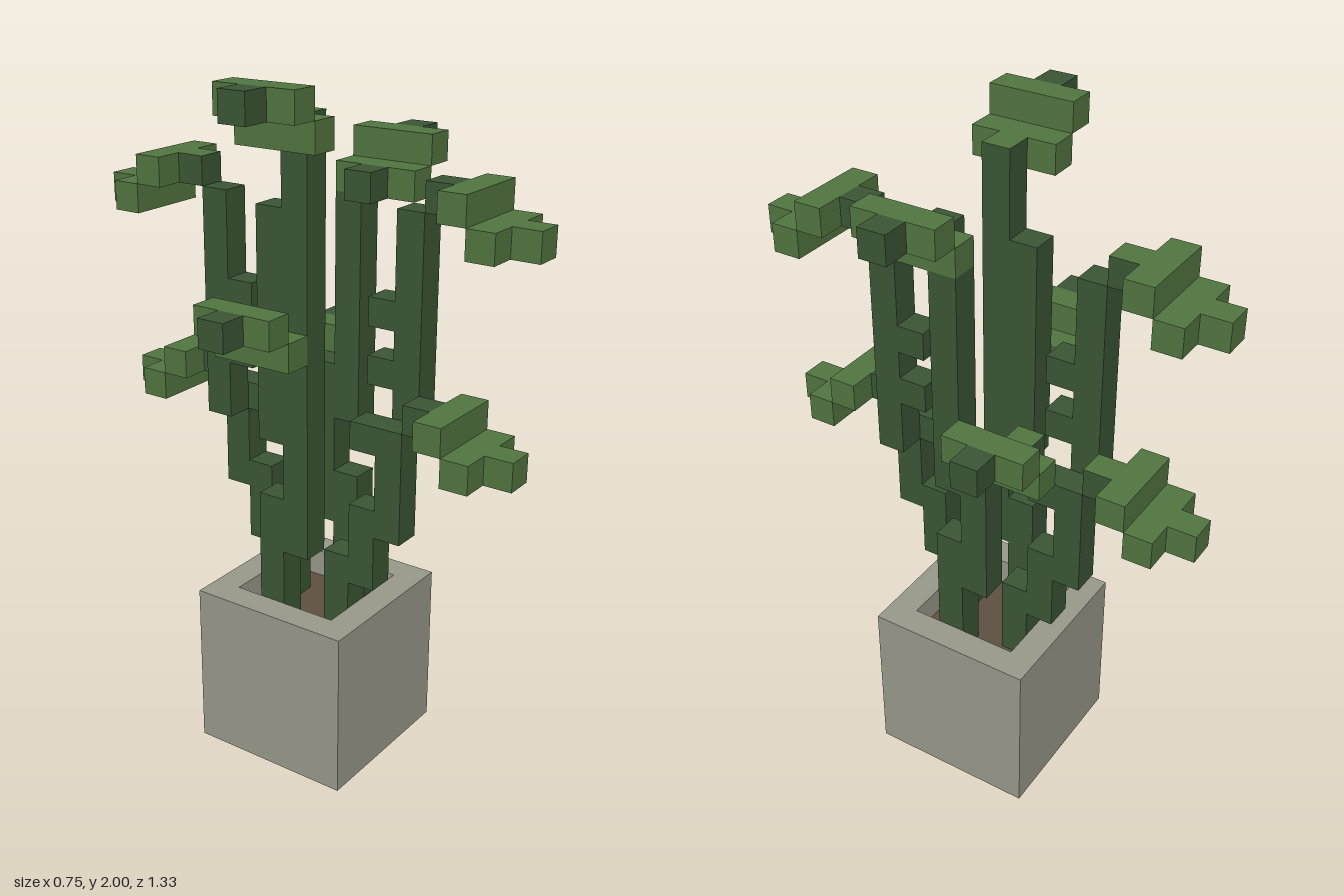
import * as THREE from 'three';

const U = 1 / 12; // edge of one block
const mat = (name, color) => Object.assign(new THREE.MeshStandardMaterial({ color }), { name });

export function createModel() {
  const model = new THREE.Group();
  model.name = 'pottedPlant';
  const stone = mat('potGrey', 0x98988a);
  const earth = mat('soilBrown', 0x5f4f42);
  const dark = mat('stemGreen', 0x3a5635);
  const light = mat('leafGreen', 0x527540);
  const lightTop = [dark, dark, light, dark, dark, dark];

  // Box given by its limits in blocks
  function box(parent, name, material, [x0, x1], [y0, y1], [z0, z1]) {
    const g = new THREE.BoxGeometry((x1 - x0) * U, (y1 - y0) * U, (z1 - z0) * U);
    const m = new THREE.Mesh(g, material);
    m.position.set(((x0 + x1) / 2 - 4.5) * U, ((y0 + y1) / 2) * U, ((z0 + z1) / 2) * U);
    m.name = name;
    parent.add(m);
    return m;
  }
  function part(name) {
    const g = new THREE.Group();
    g.name = name;
    model.add(g);
    return g;
  }

  // Pot: square block with a sunken opening, laid flat
  const outline = new THREE.Shape();
  const rect = (p, x0, x1, z0, z1) => p
    .moveTo((x0 - 4.5) * U, z0 * U).lineTo((x1 - 4.5) * U, z0 * U)
    .lineTo((x1 - 4.5) * U, z1 * U).lineTo((x0 - 4.5) * U, z1 * U).closePath();
  rect(outline, 2, 8, -3, 3);
  const hole = new THREE.Path();
  rect(hole, 3, 7, -2, 2);
  outline.holes.push(hole);
  const rim = new THREE.ExtrudeGeometry(outline, { depth: 5 * U, bevelEnabled: false });
  rim.rotateX(-Math.PI / 2).translate(0, U, 0);
  const pot = part('pot');
  const wall = new THREE.Mesh(rim, stone);
  wall.name = 'potWall';
  pot.add(wall);
  box(pot, 'potBase', stone, [2, 8], [0, 1], [-3, 3]);
  box(model, 'soil', earth, [3, 7], [1, 5], [-2, 2]);

  // Front stem, and the back one as its half turn about x = 5
  for (const back of [false, true]) {
    const g = part(back ? 'backStem' : 'frontStem');
    const put = (name, material, x, y, z) => box(g, name, material,
      back ? [10 - x[1], 10 - x[0]] : x, y, back ? [-z[1], -z[0]] : z);
    put('stem', dark, [4, 5], [5, 8], [1, 2]);
    put('stem', dark, [4, 5], [7, 10], [2, 3]);
    put('stem', dark, [4, 5], [9, 13], [3, 4]);
    put('stem', dark, [5, 6], [12, 20], [3, 4]);
    put('bud', dark, [4, 5], [12, 13], [2, 3]);
    put('bud', dark, [5, 6], [14, 15], [2, 3]);
    put('bud', dark, [5, 6], [16, 17], [2, 3]);
    // Drooping leaves: stalk, two wide rows, tip
    for (const [x, y] of [[4, 13], [5, 20]]) {
      put('stalk', back ? lightTop : dark, [x, x + 1], [y, y + 1], [4, 5]);
      put('leaf', light, [x - 1, x + 2], [y, y + 1], [5, 6]);
      put('leaf', light, [x - 1, x + 2], [y - 1, y], [6, 7]);
      put('leafTip', light, [x, x + 1], [y - 1, y], [7, 8]);
    }
  }

  // Right-hand stem (+x side)
  const plusX = part('leftStem');
  box(plusX, 'stem', dark, [6, 7], [5, 10], [0, 1]);
  box(plusX, 'stem', dark, [6, 7], [8, 14], [-1, 0]);
  box(plusX, 'stem', dark, [6, 7], [12, 20], [0, 1]);
  box(plusX, 'stalk', lightTop, [5, 6], [13, 14], [-2, -1]);
  box(plusX, 'stalk', dark, [5, 6], [20, 21], [1, 2]);
  box(plusX, 'leaf', light, [6, 7], [13, 14], [-3, -1]);
  box(plusX, 'leaf', light, [6, 7], [20, 21], [0, 3]);
  for (const [y, z] of [[14, -2], [21, 1]]) {
    box(plusX, 'leaf', light, [7, 8], [y, y + 1], [z - 1, z + 2]);
    box(plusX, 'leafTip', dark, [8, 9], [y, y + 1], [z, z + 1]);
  }

  // Tallest stem (-x side)
  const minusX = part('rightStem');
  box(minusX, 'stem', dark, [3, 4], [5, 10], [-1, 0]);
  box(minusX, 'stem', dark, [3, 4], [8, 22], [0, 1]);
  box(minusX, 'stem', dark, [3, 4], [12, 20], [-1, 0]);
  box(minusX, 'stalk', lightTop, [3, 4], [22, 23], [0, 1]);
  for (const [y, z] of [[15, -1], [22, 0]]) {
    box(minusX, 'leaf', light, [2, 3], [y, y + 1], [z - 1, z + 2]);
    box(minusX, 'leaf', light, [1, 2], [y + 1, y + 2], [z - 1, z + 2]);
    box(minusX, 'leafTip', dark, [0, 1], [y + 1, y + 2], [z, z + 1]);
  }
  return model;
}
